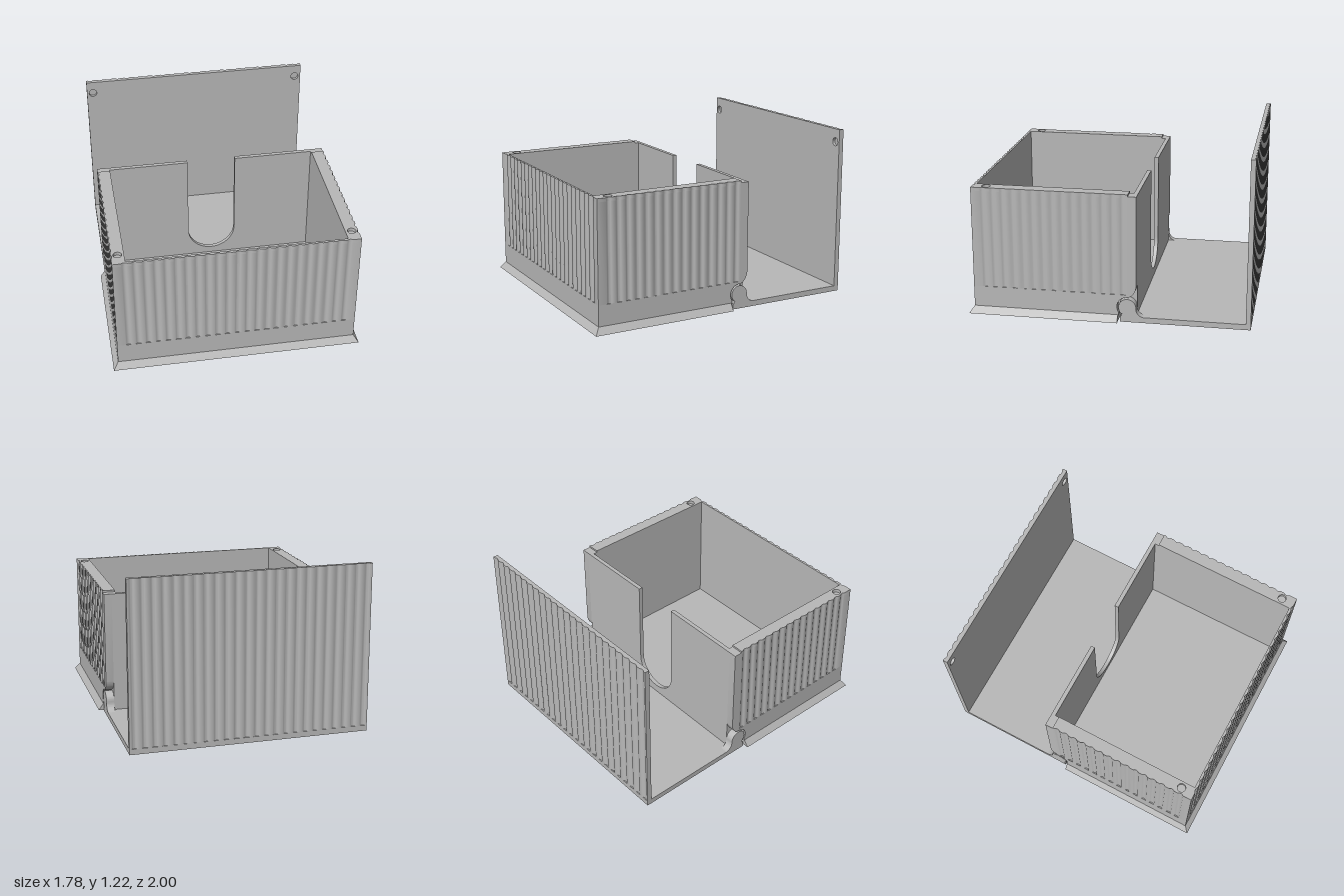
import * as THREE from 'three';
import { toCreasedNormals } from 'three/addons/utils/BufferGeometryUtils.js';

const W = 0.857, IN = 0.765, EAR = 0.8, TOP = 0.93, LIP = 0.917;
const V = (x, y) => new THREE.Vector2(x, y);

export function createModel() {
  const model = new THREE.Group();
  const grey = new THREE.MeshStandardMaterial({ color: 0xb8b8b8 });
  grey.name = 'grey plastic';

  const add = (parent, name, geo) => {
    const mesh = new THREE.Mesh(toCreasedNormals(geo, 0.6), grey);
    mesh.name = name;
    parent.add(mesh);
    return mesh;
  };
  const extrude = (shape, depth) =>
    new THREE.ExtrudeGeometry(shape, { depth, bevelEnabled: false, curveSegments: 20 });
  // plan shape (x, z) raised from y0 to y1
  const alongY = (shape, y0, y1) => extrude(shape, y1 - y0).rotateX(Math.PI / 2).translate(0, y1, 0);
  // side profile (z, y) spanning x0 to x1
  const alongX = (shape, x0, x1) => extrude(shape, x1 - x0).rotateY(-Math.PI / 2).translate(x1, 0, 0);
  const block = (x0, x1, y0, y1, z0, z1) =>
    new THREE.BoxGeometry(x1 - x0, y1 - y0, z1 - z0)
      .translate((x0 + x1) / 2, (y0 + y1) / 2, (z0 + z1) / 2);
  const addHoles = (shape, y) => {
    for (const s of [-1, 1]) {
      shape.holes.push(new THREE.Path().absarc(s * 0.81, y, 0.03, 0, Math.PI * 2, true));
    }
    return shape;
  };

  // edge from a to b with n shallow round flutes cut to its left
  const flutes = (a, b, n) => {
    const pts = [], d = b.clone().sub(a), len = d.length(), pitch = len / n;
    d.normalize();
    const left = V(-d.y, d.x);
    for (let i = 0; i < n; i++) {
      for (let k = 0; k <= 6; k++) {
        const along = pitch * (i + 0.2 + 0.1 * k);
        pts.push(a.clone().addScaledVector(d, along)
          .addScaledVector(left, 0.009 * Math.sin(Math.PI * k / 6)));
      }
    }
    return pts;
  };

  // ---- box ----
  const box = new THREE.Group();
  box.name = 'box';
  model.add(box);

  // front and side walls as a U in plan, fluted or plain
  const wallPlan = (zBack, fluted) => new THREE.Shape([
    V(W, zBack),
    ...(fluted ? flutes(V(W, zBack), V(W, 0.915), 15) : []),
    V(W, 0.965),
    ...(fluted ? flutes(V(0.81, 0.965), V(-0.81, 0.965), 23) : []),
    V(-W, 0.965),
    ...(fluted ? flutes(V(-W, 0.915), V(-W, zBack), 15) : []),
    V(-W, zBack), V(-IN, zBack), V(-IN, 0.945), V(IN, 0.945), V(IN, zBack),
  ]);
  // flutes cut to the left, which is inward only for one winding of the outline
  add(box, 'plainLowerWalls', alongY(wallPlan(-0.055, false), 0.05, 0.2));
  add(box, 'flutedWalls', alongY(wallPlan(-0.14, true), 0.2, 0.905));
  add(box, 'wallTopWithPockets', alongY(addHoles(wallPlan(-0.14, true), 0.865), 0.905, TOP));

  // base plate flaring outward at the front and sides
  const base = block(-W, W, 0, 0.05, -0.07, 0.965);
  const p = base.attributes.position;
  for (let i = 0; i < p.count; i++) {
    if (p.getY(i) > 0.01) continue;
    p.setX(i, Math.sign(p.getX(i)) * 0.892);
    if (p.getZ(i) > 0) p.setZ(i, 1);
  }
  base.computeVertexNormals();
  add(box, 'flaredBase', base);
  add(box, 'rearFloor', block(-EAR, EAR, 0.042, 0.05, -0.2, -0.07));

  // rear ends of the side walls, the outer layer cut away around the hinge
  const inner = new THREE.Shape([
    V(-0.2, 0.042), V(-0.055, 0.042), V(-0.055, 0.2), V(-0.14, 0.2), V(-0.14, LIP), V(-0.2, LIP),
  ]);
  const outer = new THREE.Shape();
  outer.moveTo(-0.14, LIP);
  outer.lineTo(-0.2, LIP);
  outer.lineTo(-0.2, 0.26);
  outer.quadraticCurveTo(-0.19, 0.205, -0.155, 0.188);
  outer.absarc(-0.137, 0.11, 0.073, Math.PI * 0.55, -Math.PI * 0.2, true);
  outer.lineTo(-0.075, 0.045);
  outer.lineTo(-0.055, 0.045);
  outer.lineTo(-0.055, 0.2);
  outer.lineTo(-0.14, 0.2);
  for (const s of [-1, 1]) {
    const span = (a, b) => (s > 0 ? [a, b] : [-b, -a]);
    add(box, 'wallEnd', alongX(inner, ...span(IN, EAR)));
    add(box, 'hingeCutout', alongX(outer, ...span(EAR, W)));
  }

  // back wall with a round-bottomed slot
  const back = new THREE.Shape();
  back.moveTo(-IN, 0.042);
  back.lineTo(IN, 0.042);
  back.lineTo(IN, LIP);
  back.lineTo(0.18, LIP);
  back.lineTo(0.18, 0.28);
  back.absarc(0, 0.28, 0.18, 0, -Math.PI, true);
  back.lineTo(-0.18, LIP);
  back.lineTo(-IN, LIP);
  add(box, 'slottedBackWall', extrude(back, 0.03).translate(0, 0, -0.2));

  // ---- open lid ----
  const lid = new THREE.Group();
  lid.name = 'lid';
  model.add(lid);
  add(lid, 'lidFloor', block(-W, W, 0, 0.04, -1, -0.085));

  // hinge knuckles blending into the lid floor
  const knuckle = new THREE.Shape();
  knuckle.moveTo(-0.26, 0.038);
  knuckle.lineTo(-0.09, 0.038);
  knuckle.lineTo(-0.1, 0.06);
  knuckle.absarc(-0.137, 0.107, 0.062, -Math.PI * 0.28, Math.PI, false);
  knuckle.absarc(-0.26, 0.1, 0.061, 0, -Math.PI / 2, true);
  for (const s of [-1, 1]) {
    add(lid, 'hingeKnuckle', s > 0 ? alongX(knuckle, EAR, W) : alongX(knuckle, -W, -EAR));
  }

  // upright panel, fluted behind, with two shallow pockets in front
  const panelBack = new THREE.Shape([
    V(-W, -1), ...flutes(V(-W, -1), V(W, -1), 24), V(W, -1), V(W, -0.985), V(-W, -0.985),
  ]);
  add(lid, 'flutedPanel', alongY(panelBack, 0.04, 1.215));
  const panelFront = addHoles(new THREE.Shape([
    V(-W, 0.04), V(W, 0.04), V(W, 1.215), V(-W, 1.215),
  ]), 1.12);
  add(lid, 'panelFace', extrude(panelFront, 0.02).translate(0, 0, -0.985));

  return model;
}
